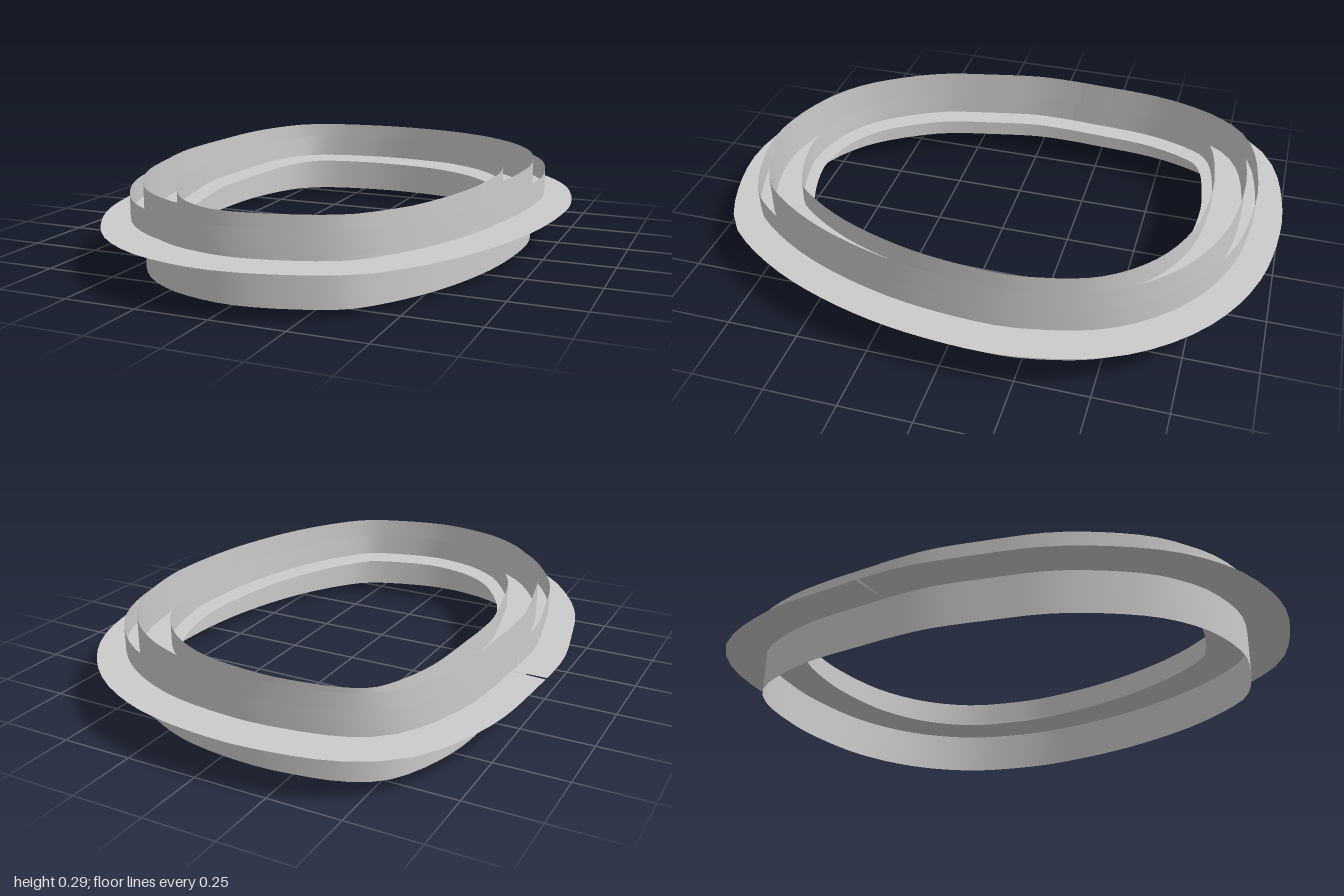
import * as THREE from 'three';

// Centre line of the loop as [x, z]; it starts and ends at the seam on the -x side
const PATH = [
  [-0.653, -0.148], [-0.62, -0.5], [-0.537, -0.714], [-0.474, -0.778], [-0.384, -0.82],
  [-0.246, -0.847], [-0.093, -0.857], [0.188, -0.815], [0.41, -0.698], [0.569, -0.508],
  [0.643, -0.254], [0.651, -0.106], [0.616, 0.19], [0.516, 0.492], [0.394, 0.693],
  [0.325, 0.762], [0.167, 0.825], [-0.008, 0.854], [-0.161, 0.83], [-0.267, 0.788],
  [-0.389, 0.698], [-0.495, 0.556], [-0.569, 0.407], [-0.616, 0.217], [-0.653, 0.016],
  [-0.653, -0.148],
];
const SEGMENTS = 80;

export function createModel() {
  const group = new THREE.Group();
  const material = new THREE.MeshStandardMaterial({ color: 0xcccccc, side: THREE.DoubleSide });

  // An open curve keeps separate end directions, which leaves the small wedge at the seam
  const curve = new THREE.CatmullRomCurve3(PATH.map(([x, z]) => new THREE.Vector3(x, 0, z)));
  const frames = [];
  for (let i = 0; i <= SEGMENTS; i++) {
    const u = i / SEGMENTS;
    const p = curve.getPointAt(u);
    const t = curve.getTangentAt(u);
    frames.push({ p, out: new THREE.Vector3(t.z, 0, -t.x).normalize() });
  }

  // Thin ribbon swept along the loop between two [outward offset, height] points
  function addRibbon(name, from, to) {
    const positions = [];
    const index = [];
    frames.forEach(({ p, out }, i) => {
      for (const [offset, y] of [from, to]) {
        positions.push(p.x + out.x * offset, y, p.z + out.z * offset);
      }
      if (i < SEGMENTS) {
        const a = i * 2;
        index.push(a, a + 2, a + 1, a + 1, a + 2, a + 3);
      }
    });
    const geometry = new THREE.BufferGeometry();
    geometry.setAttribute('position', new THREE.Float32BufferAttribute(positions, 3));
    geometry.setIndex(index);
    geometry.computeVertexNormals();
    const mesh = new THREE.Mesh(geometry, material);
    mesh.name = name;
    group.add(mesh);
  }

  // Flat track, tall wall through its middle, and a low rail on each side
  addRibbon('flatTrack', [-0.145, 0.15], [0.145, 0.15]);
  addRibbon('centreWall', [0, 0.29], [0, 0]);
  addRibbon('outerRail', [0.045, 0.255], [0.045, 0.175]);
  addRibbon('innerRail', [-0.11, 0.255], [-0.11, 0.175]);

  return group;
}
